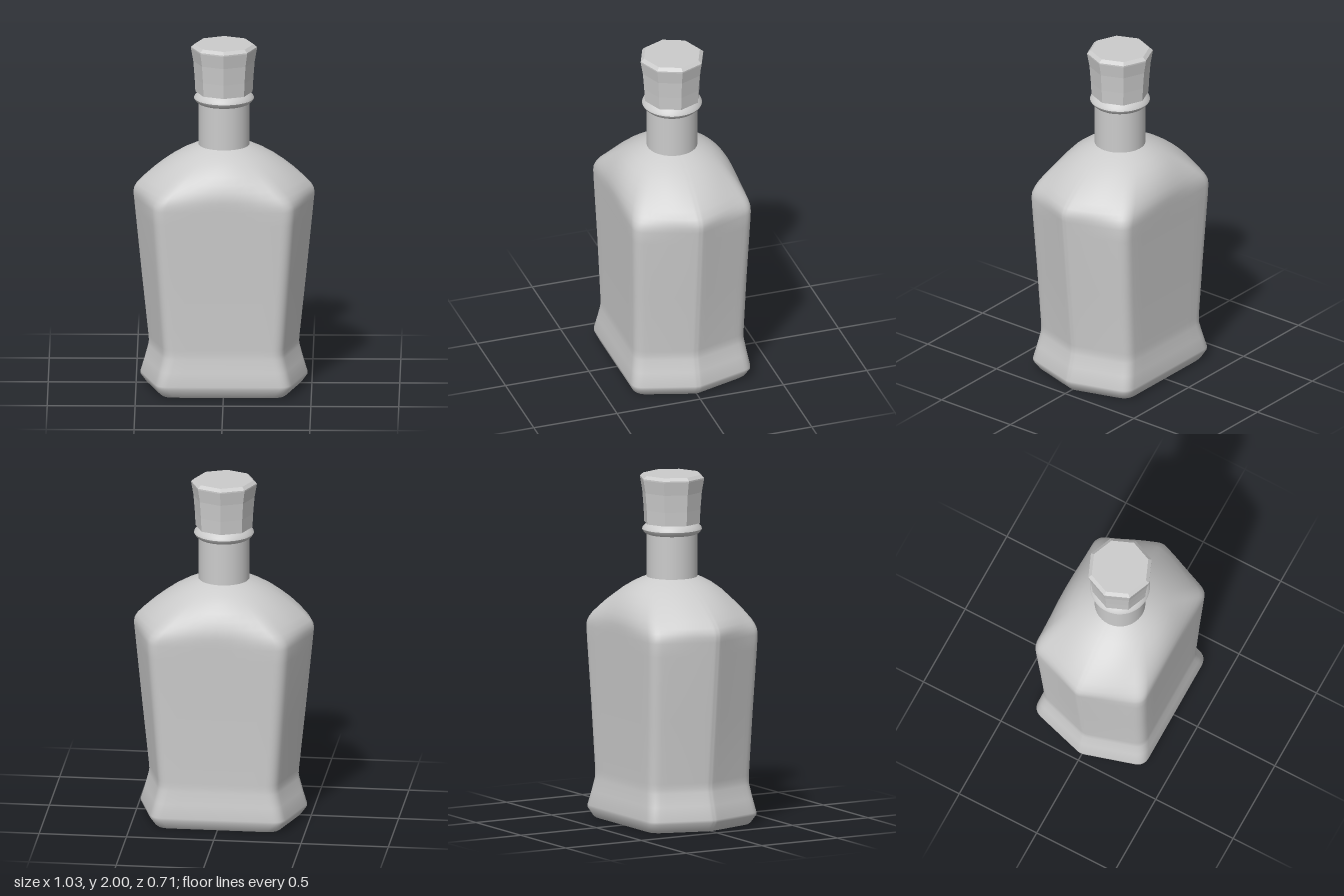
import * as THREE from 'three';
import { toCreasedNormals } from 'three/addons/utils/BufferGeometryUtils.js';

const mat = (flatShading = false) => new THREE.MeshStandardMaterial({ color: 0xcccccc, flatShading });

// Hexagonal outline with rounded corners: tips at x = +-a, flat faces of half width b at z = +-c.
// round blends it towards an ellipse of the same width and depth.
function section([y, a, b, c, round]) {
  const corners = [[a, 0], [b, c], [-b, c], [-a, 0], [-b, -c], [b, -c]].map(p => new THREE.Vector2(...p));
  const out = [];
  corners.forEach((p, i) => {
    const prev = corners[(i + 5) % 6], next = corners[(i + 1) % 6];
    const r = i % 3 === 0 ? 0.025 : 0.055;
    const start = p.clone().add(prev.clone().sub(p).setLength(r));
    const end = p.clone().add(next.clone().sub(p).setLength(r));
    out.push(...new THREE.QuadraticBezierCurve(start, p, end).getPoints(6));
    // points along the side up to the next corner
    const rn = (i + 1) % 3 === 0 ? 0.025 : 0.055;
    const stop = next.clone().add(p.clone().sub(next).setLength(rn));
    for (let k = 1; k < 8; k++) out.push(end.clone().lerp(stop, k / 8));
  });
  return out.map(q => {
    const t = Math.atan2(q.y / c, q.x / a);
    return [
      THREE.MathUtils.lerp(q.x, a * Math.cos(t), round), y,
      THREE.MathUtils.lerp(q.y, c * Math.sin(t), round)];
  });
}

// Skin over a stack of sections, closed by a flat bottom
function loft(rings) {
  const loops = rings.map(section), n = loops[0].length;
  const positions = loops.flat(2), index = [];
  for (let j = 0; j < loops.length - 1; j++) {
    for (let i = 0; i < n; i++) {
      const p = j * n + i, q = j * n + (i + 1) % n;
      index.push(p, p + n, q, q, p + n, q + n);
    }
  }
  const centre = positions.length / 3;
  positions.push(0, rings[0][0], 0);
  for (let i = 0; i < n; i++) index.push(centre, i, (i + 1) % n);
  const g = new THREE.BufferGeometry();
  g.setAttribute('position', new THREE.Float32BufferAttribute(positions, 3));
  g.setIndex(index);
  g.computeVertexNormals();
  return toCreasedNormals(g, 0.65);
}

function lathe(points, sides) {
  return new THREE.LatheGeometry(points.map(p => new THREE.Vector2(...p)), sides);
}

export function createModel() {
  const model = new THREE.Group();
  const add = (name, geometry, flat) => {
    const mesh = new THREE.Mesh(geometry, mat(flat));
    mesh.name = name;
    model.add(mesh);
  };

  // Flared foot, tapered hexagonal body and domed shoulder: [y, a, b, c, round]
  add('body', loft([
    [0, 0.435, 0.335, 0.325, 0],
    [0.01, 0.445, 0.345, 0.335, 0],
    [0.055, 0.478, 0.372, 0.356, 0],
    [0.07, 0.479, 0.372, 0.357, 0],
    [0.15, 0.455, 0.35, 0.344, 0],
    [0.225, 0.435, 0.332, 0.333, 0],
    [0.25, 0.431, 0.33, 0.331, 0],
    [0.28, 0.433, 0.331, 0.331, 0],
    [0.65, 0.472, 0.357, 0.34, 0],
    [1.02, 0.509, 0.383, 0.353, 0],
    [1.1, 0.517, 0.386, 0.356, 0],
    [1.13, 0.52, 0.383, 0.357, 0.04],
    [1.155, 0.515, 0.375, 0.357, 0.14],
    [1.18, 0.5, 0.365, 0.356, 0.28],
    [1.215, 0.463, 0.34, 0.348, 0.46],
    [1.255, 0.415, 0.31, 0.332, 0.64],
    [1.295, 0.361, 0.27, 0.308, 0.82],
    [1.335, 0.302, 0.22, 0.274, 0.94],
    [1.37, 0.24, 0.17, 0.228, 1],
    [1.395, 0.186, 0.13, 0.182, 1],
    [1.412, 0.143, 0.1, 0.143, 1],
  ]));

  // Neck
  const neck = new THREE.CylinderGeometry(0.145, 0.145, 0.31, 48);
  neck.translate(0, 1.555, 0);
  add('neck', neck);

  // Lip bead around the mouth
  add('lip', toCreasedNormals(lathe([
    [0.14, 1.655], [0.152, 1.66], [0.164, 1.672], [0.171, 1.685],
    [0.166, 1.697], [0.152, 1.71], [0.14, 1.722], [0, 1.722],
  ], 48), 0.7));

  // Eight-sided stopper, flaring to a bevelled top
  add('stopper', lathe([
    [0, 1.72], [0.163, 1.72], [0.167, 1.8], [0.175, 1.9],
    [0.188, 1.975], [0.188, 1.983], [0.168, 2], [0, 2],
  ], 8), true);

  return model;
}
